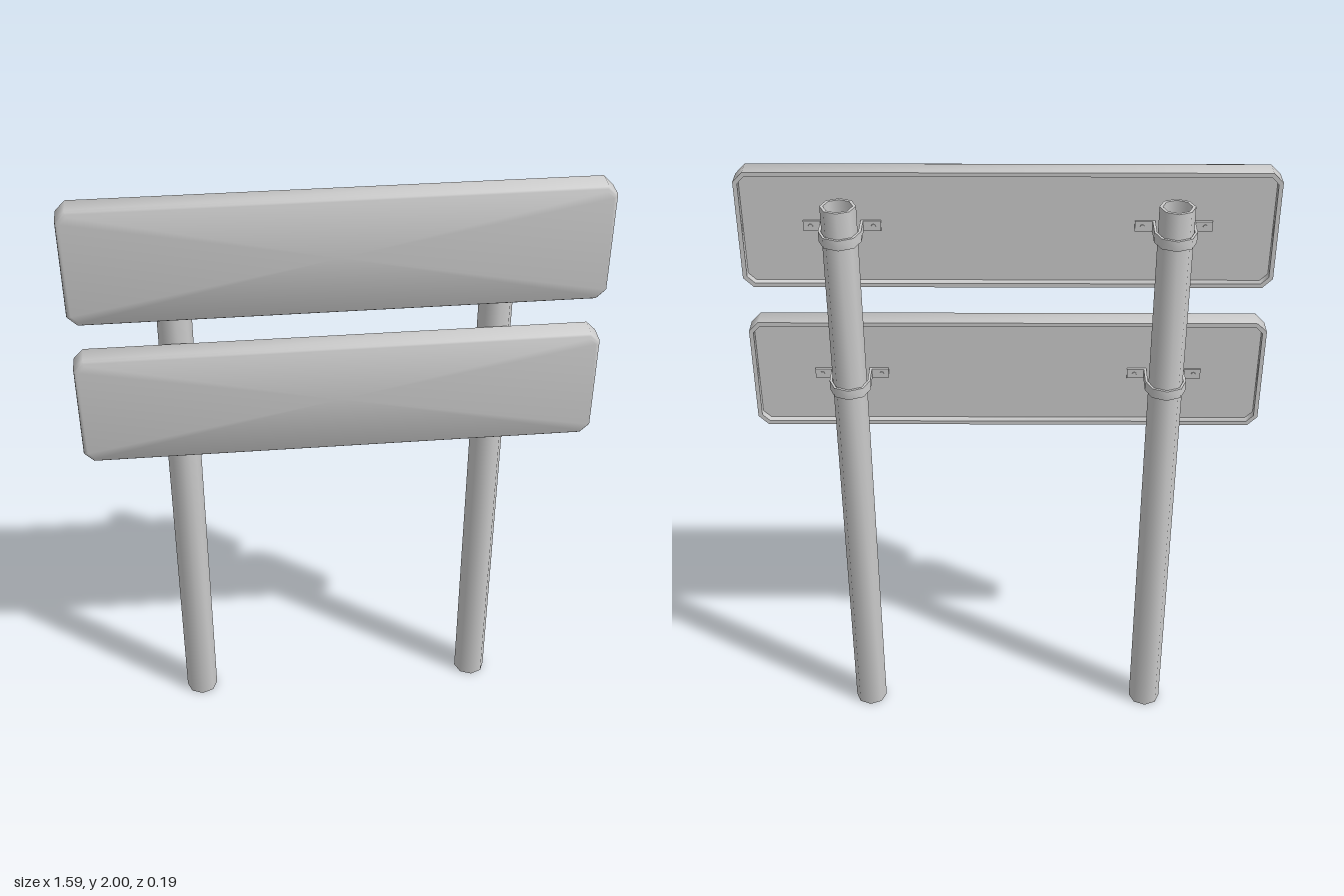
import * as THREE from 'three';
import { toCreasedNormals } from 'three/addons/utils/BufferGeometryUtils.js';

const material = new THREE.MeshStandardMaterial({ color: 0xcccccc });
const POST_X = 0.49, POST_Z = -0.032, FLOOR_Z = 0.045;

function mesh(name, geometry, x = 0, y = 0, z = 0) {
  const m = new THREE.Mesh(geometry, material);
  m.name = name;
  m.position.set(x, y, z);
  return m;
}

// Rectangle with cut corners, moved inwards by inset, counter-clockwise from the front
function outline(inset) {
  const w = 0.797 - inset, h = 0.186 - inset, c = 0.03 - inset * 0.586;
  return [[w, -h + c], [w, h - c], [w - c, h], [-w + c, h],
    [-w, h - c], [-w, -h + c], [-w + c, -h], [w - c, -h]];
}

// Tray-shaped panel: recessed back, thin rim, rounded front edge
function panelGeometry() {
  const sections = [[0.013, FLOOR_Z], [0.013, 0.021], [0, 0.021], [0, 0.082],
    [0.002, 0.089], [0.007, 0.094], [0.014, 0.096]];
  const centre = z => Array.from({ length: 8 }, () => [0, 0, z]);
  const loops = [centre(FLOOR_Z),
    ...sections.map(([inset, z]) => outline(inset).map(([x, y]) => [x, y, z])),
    centre(0.096)];
  const index = [];
  for (let i = 0; i < loops.length - 1; i++) {
    for (let j = 0; j < 8; j++) {
      const k = (j + 1) % 8;
      const a = i * 8 + j, b = i * 8 + k, c = b + 8, d = a + 8;
      if (i > 0) index.push(a, b, c);
      if (i === 0) index.push(a, c, d);
      else if (i < loops.length - 2) index.push(a, c, d);
    }
  }
  const g = new THREE.BufferGeometry();
  g.setAttribute('position', new THREE.Float32BufferAttribute(loops.flat(2), 3));
  g.setIndex(index);
  return toCreasedNormals(g, 0.9);
}

// Hollow eight-sided tube
function postGeometry() {
  const profile = [[0.053, 0], [0.053, 1.92], [0.043, 1.92], [0.043, 0], [0.053, 0]]
    .map(([r, y]) => new THREE.Vector2(r, y));
  return toCreasedNormals(new THREE.LatheGeometry(profile, 8), 0.9);
}

// Strap around the back of the post, with legs and outward tabs on the panel
function clampGeometry() {
  const foot = POST_Z - FLOOR_Z, thick = 0.008, outer = 0.063, inner = outer - thick, end = 0.115;
  const arc = r => [4, 3, 2, 1, 0].map(i =>
    [r * Math.cos(i * Math.PI / 4), r * Math.sin(i * Math.PI / 4)]);
  const points = [[-end, foot + thick], [-outer, foot + thick], ...arc(outer),
    [outer, foot + thick], [end, foot + thick], [end, foot], [inner, foot],
    ...arc(inner).reverse(), [-inner, foot], [-end, foot]];
  const shape = new THREE.Shape(points.map(([x, y]) => new THREE.Vector2(x, y)));
  const g = new THREE.ExtrudeGeometry(shape, { depth: 0.032, bevelEnabled: false });
  g.translate(0, 0, -0.016).rotateX(-Math.PI / 2);
  return toCreasedNormals(g, 0.9);
}

export function createModel() {
  const model = new THREE.Group();
  model.name = 'twoPanelSign';

  const panel = panelGeometry();
  model.add(mesh('upperPanel', panel, 0, 1.814, 0));
  model.add(mesh('lowerPanel', panel, 0, 1.318, 0));

  const post = postGeometry(), strap = clampGeometry();
  const bolt = new THREE.CylinderGeometry(0.007, 0.007, 0.004, 8).rotateX(Math.PI / 2);
  for (const [side, sign] of [['left', 1], ['right', -1]]) {
    model.add(mesh(side + 'Post', post, sign * POST_X, 0, POST_Z));
    for (const [level, y] of [['Upper', 1.823], ['Lower', 1.313]]) {
      const clamp = new THREE.Group();
      clamp.name = side + level + 'Clamp';
      clamp.position.set(sign * POST_X, y, POST_Z);
      clamp.add(mesh('strap', strap));
      for (const s of [-1, 1]) clamp.add(mesh('bolt', bolt, s * 0.093, 0, FLOOR_Z - POST_Z - 0.009));
      model.add(clamp);
    }
  }
  return model;
}
